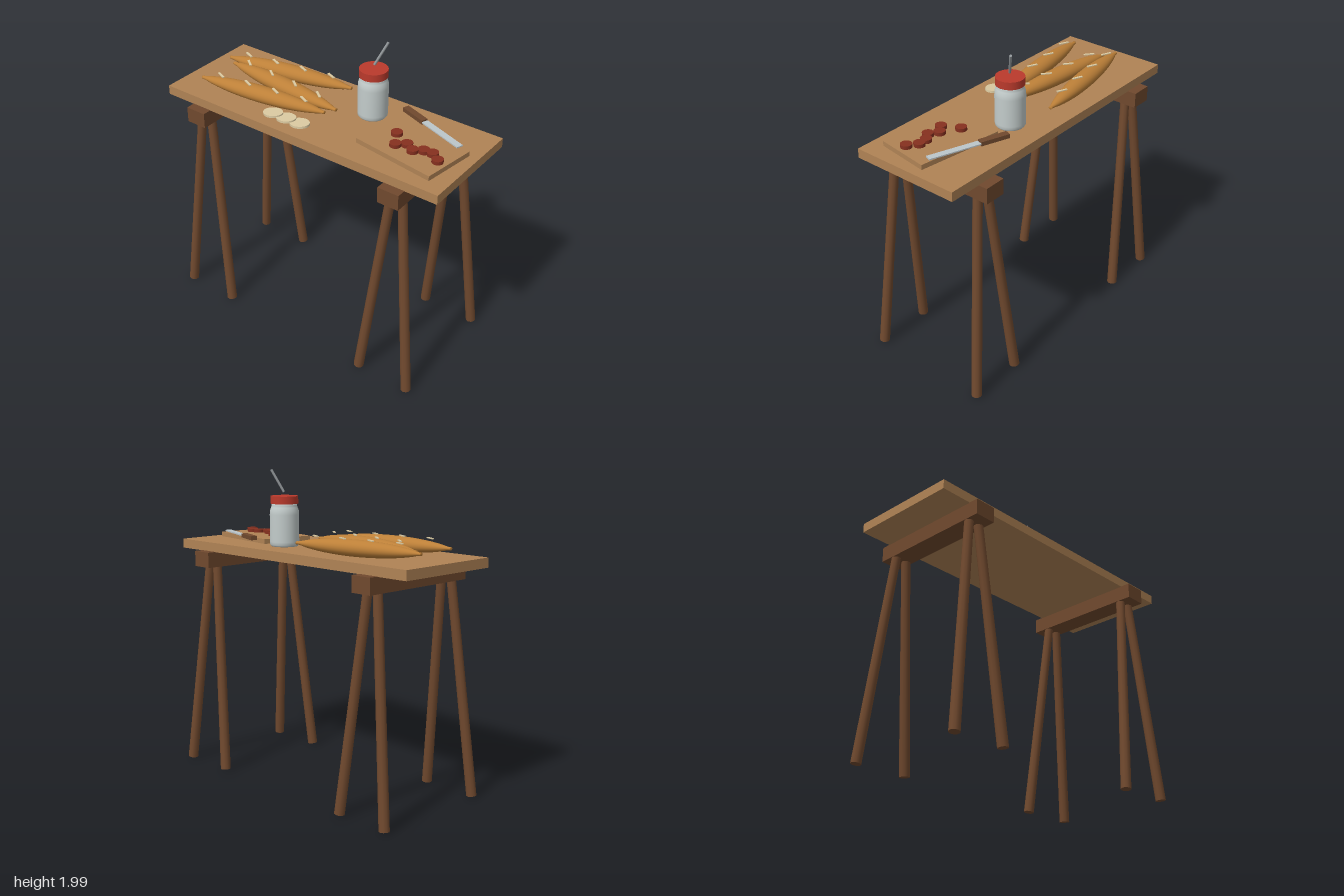
import * as THREE from 'three';

const mat = (name, color) => {
  const m = new THREE.MeshStandardMaterial({ color });
  m.name = name;
  return m;
};

export function createModel() {
  const model = new THREE.Group();
  model.name = 'foodTable';
  const wood = mat('light wood', 0xb08355);
  const darkWood = mat('dark wood', 0x70492e);
  const crust = mat('bread crust', 0xbd8038);
  const crumb = mat('bread crumb', 0xdccba2);
  const glass = mat('jar glass', 0xc3cccb);
  const lidRed = mat('lid red', 0xbb3a2c);
  const tomatoRed = mat('tomato red', 0x86301f);
  const steel = mat('steel', 0xbcc6ca);
  const straw = mat('straw grey', 0x92979a);

  const add = (name, geometry, material, x, y, z, parent = model) => {
    const mesh = new THREE.Mesh(geometry, material);
    mesh.name = name;
    mesh.position.set(x, y, z);
    parent.add(mesh);
    return mesh;
  };
  const box = (w, h, d) => new THREE.BoxGeometry(w, h, d);
  // Round bar running between two points
  const bar = (name, a, b, rTop, rBottom, sides, material) => {
    const from = new THREE.Vector3(...a), dir = new THREE.Vector3(...b).sub(from);
    const mesh = add(name, new THREE.CylinderGeometry(rTop, rBottom, dir.length(), sides), material, 0, 0, 0);
    mesh.position.copy(from).addScaledVector(dir, 0.5);
    mesh.quaternion.setFromUnitVectors(new THREE.Vector3(0, 1, 0), dir.normalize());
  };

  // Table top on two trestles
  const TOP = 1.508;
  add('tableTop', box(2, 0.06, 0.72), wood, 0, TOP - 0.03, 0);
  for (const side of [-1, 1]) {
    const cx = side * 0.72;
    add('trestleBeam', box(0.14, 0.1, 0.84), darkWood, cx, 1.4, 0);
    for (const sx of [-1, 1]) for (const sz of [-1, 1]) {
      bar('trestleLeg', [cx + sx * 0.18, 0.004, sz * 0.4], [cx + sx * 0.037, 1.37, sz * 0.322],
        0.029, 0.033, 10, darkWood);
    }
  }

  // Long loaves with scored tops
  const profile = [new THREE.Vector2(0, -0.446)];
  for (let i = 0; i <= 24; i++) {
    const t = -Math.cos((i / 24) * Math.PI);
    profile.push(new THREE.Vector2(Math.max(0.012, 0.061 * Math.pow(1 - t * t, 0.7)), t * 0.445));
  }
  profile.push(new THREE.Vector2(0, 0.446));
  const loafGeo = new THREE.LatheGeometry(profile, 24).rotateZ(-Math.PI / 2).scale(1, 0.83, 1);
  for (const [x, z, turn] of [[-0.44, -0.168, 0.157], [-0.364, -0.01, -0.096], [-0.4, 0.154, 0.127]]) {
    const loaf = new THREE.Group();
    loaf.name = 'loaf';
    loaf.position.set(x, 1.557, z);
    loaf.rotation.y = turn;
    model.add(loaf);
    add('loafCrust', loafGeo, crust, 0, 0, 0, loaf);
    for (let i = 0; i < 4; i++) {
      add('loafScore', box(0.07, 0.006, 0.014), crumb, -0.3 + i * 0.2, 0.052, 0, loaf).rotation.y = -0.55;
    }
  }

  // Overlapping bread slices
  for (let i = 0; i < 3; i++) {
    const slice = add('breadSlice', new THREE.CylinderGeometry(0.066, 0.066, 0.014, 24).scale(1, 1, 0.82),
      crumb, -0.245 + i * 0.102, 1.519, 0.235);
    slice.rotation.z = 0.09;
  }

  // Jar with lid and drinking straw
  const JX = 0.237, JZ = -0.125;
  const jarProfile = [[0, 0], [0.084, 0], [0.092, 0.01], [0.093, 0.03], [0.093, 0.2], [0.091, 0.225],
    [0.084, 0.245], [0.08, 0.256], [0.08, 0.28], [0, 0.28]].map(p => new THREE.Vector2(...p));
  add('jarBody', new THREE.LatheGeometry(jarProfile, 32), glass, JX, TOP, JZ);
  add('jarLid', new THREE.CylinderGeometry(0.088, 0.088, 0.048, 32), lidRed, JX, 1.8, JZ);
  bar('drinkingStraw', [JX + 0.003, 1.848, JZ], [JX + 0.06, 1.988, JZ - 0.055], 0.008, 0.008, 10, straw);

  // Cutting board with tomato slices
  add('cuttingBoard', box(0.552, 0.031, 0.355), wood, 0.639, TOP + 0.0155, 0.056).rotation.y = -0.146;
  const tomatoGeo = new THREE.CylinderGeometry(0.035, 0.035, 0.022, 20);
  for (const [x, z] of [[0.508, 0.018], [0.567, 0.123], [0.62, 0.082], [0.68, 0.118],
    [0.733, 0.082], [0.79, 0.078], [0.849, 0.123]]) {
    add('tomatoSlice', tomatoGeo, tomatoRed, x, 1.55, z);
  }

  // Knife resting across the board's back edge
  const knife = new THREE.Group();
  knife.name = 'knife';
  knife.position.set(0.572, 1.552, -0.18);
  knife.rotation.y = -0.345;
  model.add(knife);
  add('knifeHandle', box(0.185, 0.026, 0.042), darkWood, -0.0925, 0, 0, knife);
  add('knifeBlade', box(0.325, 0.008, 0.042), steel, 0.1625, 0, 0, knife);

  return model;
}
